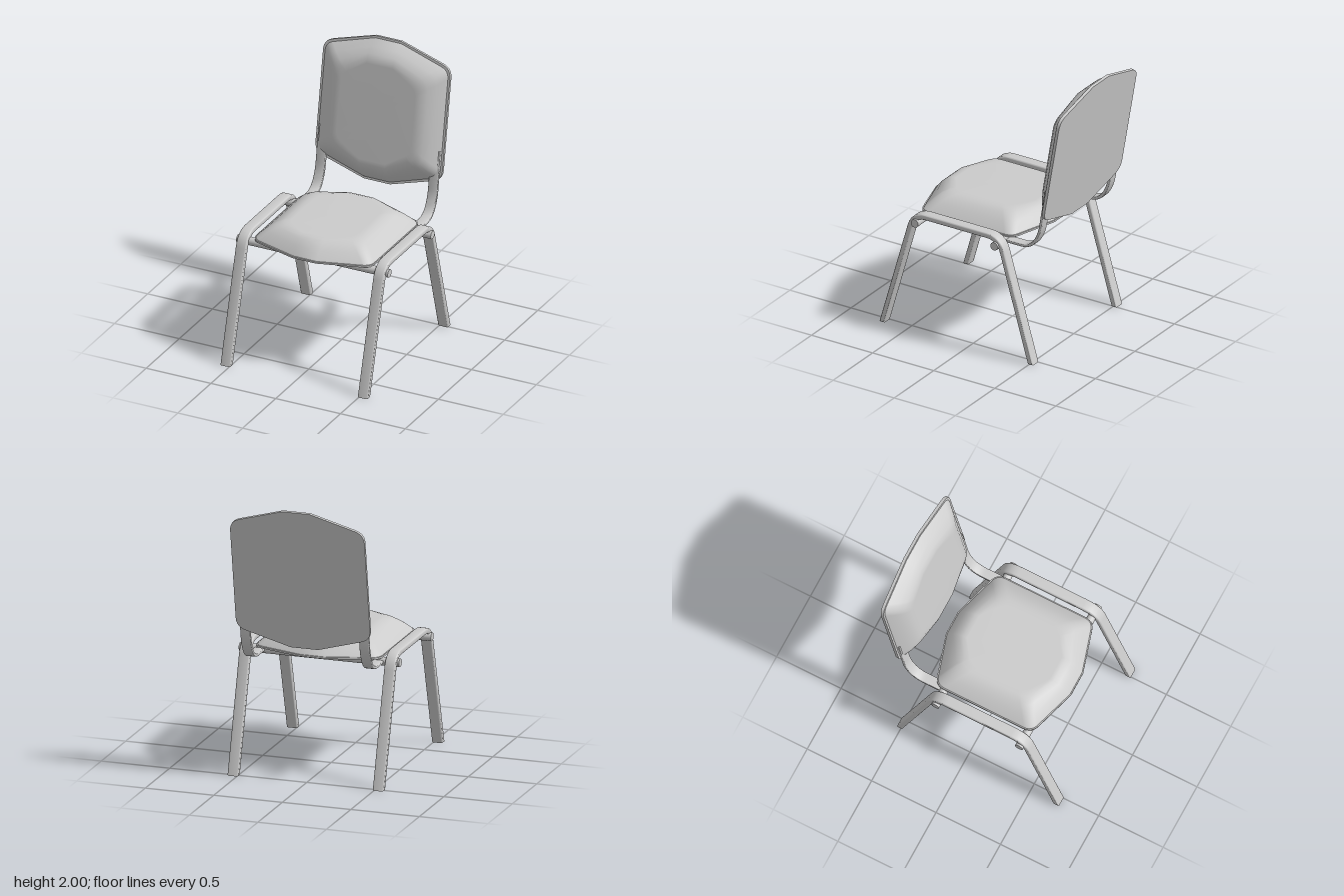
import * as THREE from 'three';
import { toCreasedNormals } from 'three/addons/utils/BufferGeometryUtils.js';

const material = new THREE.MeshStandardMaterial({ color: 0xcccccc });

function mesh(name, geometry) {
  const m = new THREE.Mesh(geometry, material);
  m.name = name;
  return m;
}

// Polyline through [x, y, r] corners, each rounded off over the length r
function roundedPath(corners) {
  const v = corners.map(([x, y]) => new THREE.Vector2(x, y));
  const path = new THREE.Path();
  path.moveTo(v[0].x, v[0].y);
  for (let i = 1; i < v.length; i++) {
    const r = corners[i][2] || 0;
    if (!r) { path.lineTo(v[i].x, v[i].y); continue; }
    const a = v[i - 1].clone().sub(v[i]).setLength(r).add(v[i]);
    const b = v[i + 1].clone().sub(v[i]).setLength(r).add(v[i]);
    path.lineTo(a.x, a.y);
    path.quadraticCurveTo(v[i].x, v[i].y, b.x, b.y);
  }
  return path.getPoints(6);
}

// Flat bar bent along a [z, y, r] side profile, centred on the given x
function bentBar(name, corners, x, width, thickness, levelEnds) {
  const pts = roundedPath(corners.map(([z, y, r]) => [-z, y, r]));
  const last = pts.length - 1;
  const sides = [[], []];
  pts.forEach((p, i) => {
    const t = pts[Math.min(i + 1, last)].clone().sub(pts[Math.max(i - 1, 0)]).normalize();
    const n = new THREE.Vector2(-t.y, t.x).multiplyScalar(thickness / 2);
    // Ends cut level with the floor
    if (levelEnds && (i === 0 || i === last)) n.set(-thickness / 2 / t.y, 0);
    sides[0].push(p.clone().add(n));
    sides[1].unshift(p.clone().sub(n));
  });
  const b = Math.min(0.01, thickness * 0.25);
  const geo = new THREE.ExtrudeGeometry(new THREE.Shape([...sides[0], ...sides[1]]), {
    depth: width - 2 * b, bevelThickness: b, bevelSize: b, bevelOffset: -b, bevelSegments: 3,
  });
  geo.translate(0, 0, b - width / 2).rotateY(Math.PI / 2).translate(x, 0, 0);
  return mesh(name, toCreasedNormals(geo, 0.7));
}

// Eight-sided panel outline: narrow flat ends, rounded side corners
function outline(hx, hy, flat, drop, r) {
  const y = hy - drop;
  const pts = roundedPath([
    [0, -hy], [flat, -hy], [hx, -y, r], [hx, y, r], [flat, hy],
    [-flat, hy], [-hx, y, r], [-hx, -y, r], [-flat, -hy], [0, -hy],
  ]);
  pts.pop();
  return pts;
}

// Domed cushion: outline loops stepping inward and up, closed by a flat cap
function cushionGeometry(hx, hy, flat, drop, height, insetX, insetY) {
  const profile = [[0, 0], [0.03, 0.08], [0.36, 0.52], [0.7, 0.85], [1, 0.98], [1.25, 1]];
  const pos = [], index = [];
  let n = 0;
  for (const [f, h] of profile) {
    const loop = outline(hx - insetX * f, hy - insetY * f, flat, drop, 0.06);
    n = loop.length;
    for (const p of loop) pos.push(p.x, p.y, h * height);
  }
  const centre = pos.length / 3;
  pos.push(0, 0, height);
  for (let k = 0; k < profile.length; k++) {
    for (let i = 0; i < n; i++) {
      const a = k * n + i, b = k * n + (i + 1) % n;
      if (k === profile.length - 1) index.push(a, b, centre);
      else index.push(a, b, b + n, a, b + n, a + n);
    }
  }
  const geo = new THREE.BufferGeometry();
  geo.setAttribute('position', new THREE.Float32BufferAttribute(pos, 3));
  geo.setIndex(index);
  geo.computeVertexNormals();
  return geo;
}

// Thin backing board with a cushion on its +z face
function paddedPanel(name, o) {
  const group = new THREE.Group();
  group.name = name;
  const board = new THREE.ExtrudeGeometry(
    new THREE.Shape(outline(o.hx, o.hy, o.flat, o.drop, 0.07)),
    { depth: o.board, bevelEnabled: false });
  const cushion = mesh(name + 'Cushion', cushionGeometry(
    o.hx - o.rim, o.hy - o.rim, o.flat, o.drop, o.height, o.insetX, o.insetY));
  cushion.position.z = o.board;
  group.add(mesh(name + 'Board', toCreasedNormals(board, 0.5)), cushion);
  return group;
}

export function createModel() {
  const chair = new THREE.Group();
  chair.name = 'chair';

  // Seat
  const seat = paddedPanel('seat', {
    hx: 0.46, hy: 0.485, flat: 0.09, drop: 0.11, board: 0.013, rim: 0.008,
    height: 0.112, insetX: 0.16, insetY: 0.125,
  });
  seat.rotation.x = -Math.PI / 2;
  seat.position.set(0, 0.867, 0.085);
  chair.add(seat);

  // Backrest, leaning backwards
  const back = paddedPanel('backrest', {
    hx: 0.49, hy: 0.519, flat: 0.1, drop: 0.115, board: 0.022, rim: 0.016,
    height: 0.106, insetX: 0.15, insetY: 0.125,
  });
  back.rotation.x = -0.17;
  back.position.set(0, 1.487, -0.637);
  chair.add(back);

  for (const [side, s] of [['left', 1], ['right', -1]]) {
    // Front leg, side rail and rear leg in one bent bar
    chair.add(bentBar(side + 'LegFrame', [
      [0.705, 0], [0.448, 0.897, 0.1], [-0.25, 0.897, 0.1], [-0.51, 0],
    ], s * 0.53, 0.08, 0.04, true));
    // Strip carrying the backrest
    chair.add(bentBar(side + 'BackSupport', [
      [-0.2, 0.842], [-0.45, 0.842, 0.08], [-0.52, 0.965, 0.06], [-0.545, 1.12, 0.04], [-0.574, 1.3],
    ], s * 0.434, 0.073, 0.022, false));
  }

  // Round cross bars under the seat
  for (const [name, z] of [['frontCrossBar', 0.425], ['rearCrossBar', -0.225]]) {
    const bar = mesh(name, new THREE.CylinderGeometry(0.03, 0.03, 1.17, 24));
    bar.rotation.z = Math.PI / 2;
    bar.position.set(0, 0.84, z);
    chair.add(bar);
  }
  return chair;
}
